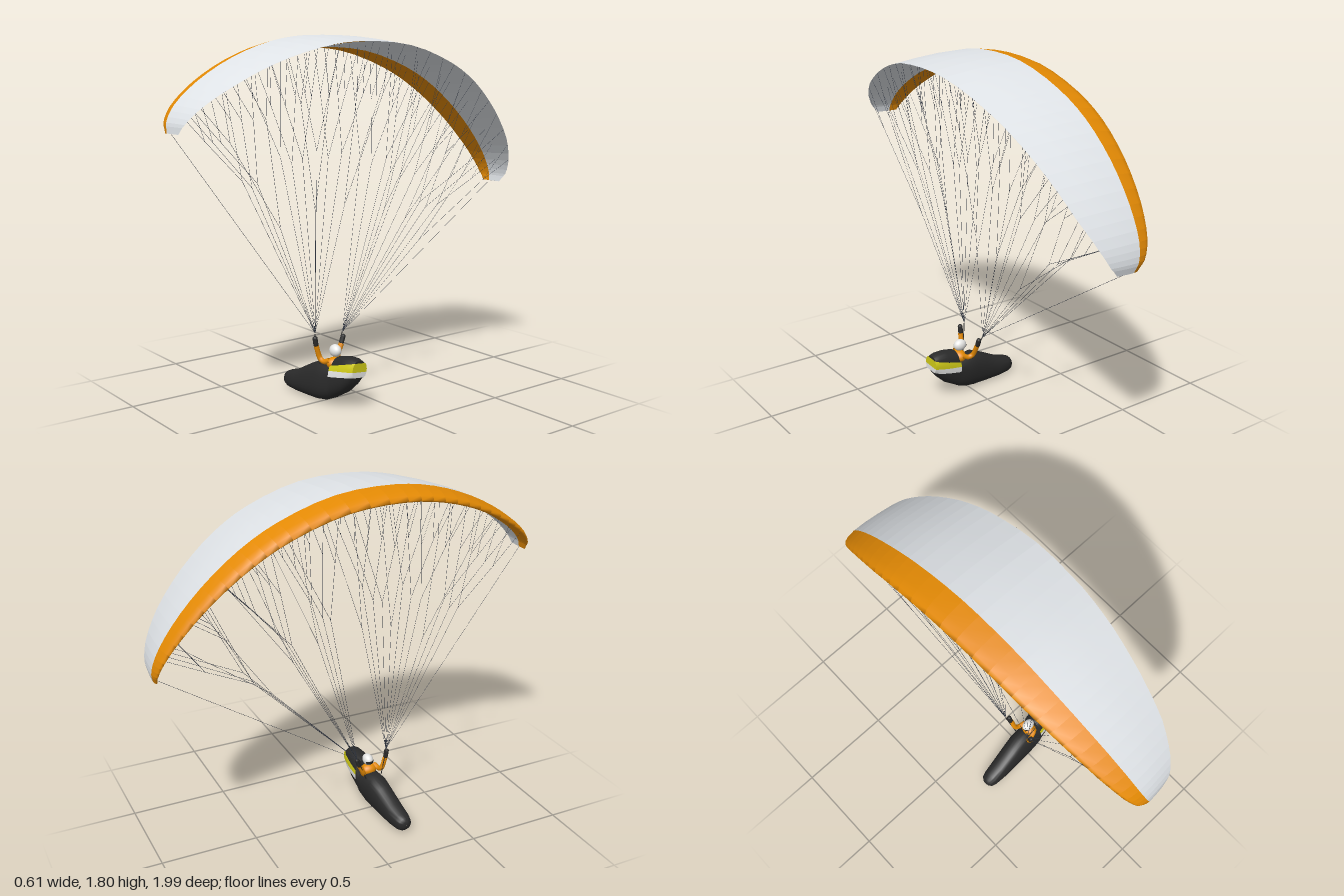
import * as THREE from 'three';
import { mergeGeometries, mergeVertices, toCreasedNormals } from 'three/addons/utils/BufferGeometryUtils.js';

const V = (x, y, z) => new THREE.Vector3(x, y, z);
const paint = (name, color, side = THREE.FrontSide) => {
  const m = new THREE.MeshStandardMaterial({ color, side });
  m.name = name;
  return m;
};

// Surface from rows of points; point(i, j) runs across (i) and along (j)
function grid(ni, nj, point) {
  const pos = [], idx = [];
  for (let j = 0; j <= nj; j++)
    for (let i = 0; i <= ni; i++) pos.push(...point(i, j).toArray());
  for (let j = 0; j < nj; j++)
    for (let i = 0; i < ni; i++) {
      const a = j * (ni + 1) + i, b = a + 1, c = a + ni + 1, d = c + 1;
      idx.push(a, b, c, b, d, c);
    }
  const g = new THREE.BufferGeometry();
  g.setAttribute('position', new THREE.Float32BufferAttribute(pos, 3));
  g.setIndex(idx);
  g.computeVertexNormals();
  return g;
}

// Thin rod between two points
function rod(a, b, radius) {
  const d = b.clone().sub(a);
  const g = new THREE.CylinderGeometry(radius, radius, d.length(), 4);
  g.applyQuaternion(new THREE.Quaternion().setFromUnitVectors(V(0, 1, 0), d.normalize()));
  return g.translate((a.x + b.x) / 2, (a.y + b.y) / 2, (a.z + b.z) / 2);
}

// Canopy half span: [span, height, leading edge x, trailing edge x]
const HALF = [
  [0, 0.592, -0.26, 0.306], [0.3, 0.554, -0.257, 0.293], [0.5, 0.487, -0.249, 0.268],
  [0.7, 0.375, -0.226, 0.228], [0.87, 0.238, -0.193, 0.181], [0.975, 0.115, -0.155, 0.12],
  [1.009, 0.035, -0.12, 0.075], [1.007, -0.012, -0.085, 0.035],
];
const FULL = [...HALF.slice(1).reverse().map(([u, ...r]) => [-u, ...r]), ...HALF];
const SHIFT = 0.008;
const arc = new THREE.CatmullRomCurve3(FULL.map(p => V(p[0] + SHIFT, p[1], 0)));
const edges = new THREE.CatmullRomCurve3(FULL.map(p => V(p[2], p[3], 0)));
// Curve parameter at a distance out from the middle, on side s
function spanParam(u, s) {
  const k = HALF.findIndex(h => h[0] > u);
  const seg = k - 1 + (u - HALF[k - 1][0]) / (HALF[k][0] - HALF[k - 1][0]);
  return 0.5 + s * seg / (FULL.length - 1);
}
// Wing section: [chord fraction, offset], upper side from the back, then lower side
const SECTION = [
  [1, -0.035], [0.75, -0.017], [0.5, -0.004], [0.25, 0], [0.1, -0.012], [0.03, -0.028], [0, -0.047],
  [0.03, -0.058], [0.12, -0.062], [0.4, -0.06], [0.6, -0.053], [0.8, -0.045], [1, -0.037],
];
const ROLL = 0.176;

// Point on the banked canopy; p runs 0..1 along the span
function canopyPoint(p, t, off) {
  const a = arc.getPoint(p), e = edges.getPoint(p), n = arc.getTangent(p);
  const k = off * (e.y - e.x) / 0.565;
  return V(e.x + t * (e.y - e.x), a.y + n.x * k, a.x - n.y * k)
    .applyAxisAngle(V(1, 0, 0), -ROLL).add(V(0, 1.204, 0));
}

// Harness stations: [x, bottom, top, half width]
const POD = [
  [-0.308, 0.046, 0.05, 0.001], [-0.305, 0.03, 0.068, 0.02], [-0.292, 0.014, 0.084, 0.036], [-0.265, 0.005, 0.097, 0.045],
  [-0.2, 0.001, 0.118, 0.052], [-0.1, 0.001, 0.172, 0.058], [-0.03, 0.004, 0.205, 0.062],
  [0.03, 0.014, 0.2, 0.063], [0.08, 0.036, 0.195, 0.063], [0.095, 0.045, 0.25, 0.063],
  [0.16, 0.083, 0.265, 0.058], [0.21, 0.13, 0.266, 0.05], [0.238, 0.168, 0.257, 0.042],
];
function podAt(x) {
  let k = 1;
  while (k < POD.length - 1 && POD[k][0] < x) k++;
  const a = POD[k - 1], b = POD[k], f = (x - a[0]) / (b[0] - a[0]);
  return a.map((v, i) => v + (b[i] - v) * f);
}

export function createModel() {
  const root = new THREE.Group();
  const orange = paint('orange', 0xe48a04, THREE.DoubleSide);
  const grey = paint('pale grey', 0xe0e4e8, THREE.DoubleSide);
  const white = paint('white', 0xf0f0ee);
  const black = paint('black', 0x2a2a2a);
  const yellow = paint('yellow', 0xd2cc18);
  const lineGrey = paint('line grey', 0x343a46);
  const add = (name, geo, mat, parent = root) => {
    const m = new THREE.Mesh(geo, mat);
    m.name = name;
    parent.add(m);
    return m;
  };

  // Canopy: separate cells, smooth along the chord and faceted along the span
  const CELLS = 42;
  const skin = (from, to) => {
    const parts = [];
    for (let c = 0; c < CELLS; c++)
      parts.push(grid(to - from, 1, (i, j) => canopyPoint((c + j) / CELLS, ...SECTION[from + i])));
    return mergeGeometries(parts);
  };
  const tips = (from, to) => mergeGeometries([0, 1].map(p =>
    grid(to - from, 1, (i, j) => canopyPoint(p, ...SECTION[j ? 12 - from - i : from + i]))));
  add('canopyTop', skin(0, 3), grey);
  add('canopyLeadingEdge', skin(3, 9), orange);
  add('canopyUnderside', skin(9, 12), grey);
  add('canopyTips', tips(0, 3), grey);
  add('canopyTipNoses', tips(3, 6), orange);

  // Suspension lines: each main line forks twice before it meets the canopy
  const lines = [], R = 0.0008;
  const mean = pts => pts.reduce((s, p) => s.add(p), V(0, 0, 0)).divideScalar(pts.length);
  const ROWS = [[0.1, -0.062, 0.64], [0.38, -0.06, 0.62], [0.68, -0.05, 0.64], [1, -0.037, 0.46]];
  const SPANS = [[0.04, 0.13, 0.22, 0.31], [0.4, 0.48, 0.56, 0.64], [0.73, 0.82, 0.9, 0.97]];
  for (const s of [-1, 1]) {
    const apex = s > 0 ? V(-0.02, 0.35, 0.24) : V(-0.02, 0.33, 0.07);
    for (const [t, off, low] of ROWS)
      for (const span of SPANS) {
        const ends = span.map(u => canopyPoint(spanParam(u, s), t, off));
        const fork = apex.clone().lerp(mean(ends), low);
        lines.push(rod(apex, fork, R));
        for (const pair of [ends.slice(0, 2), ends.slice(2)]) {
          const knot = apex.clone().lerp(mean(pair), 0.84);
          lines.push(rod(fork, knot, R));
          pair.forEach(e => lines.push(rod(knot, e, R)));
        }
      }
    lines.push(rod(apex, canopyPoint(s > 0 ? 1 : 0, 0.4, -0.05), R));
  }
  add('suspensionLines', mergeGeometries(lines), lineGrey);

  // Harness pod, leaning and turned slightly
  const harness = new THREE.Group();
  harness.name = 'harness';
  harness.position.z = 0.203;
  harness.rotation.set(-0.12, 0.05, 0);
  root.add(harness);
  const P = 2.4, N = 28;
  const bend = v => Math.sign(v) * Math.abs(v) ** (2 / P);
  const rings = [...POD, [0.24, 0.21, 0.212, 0.001]];
  const pod = grid(N, rings.length - 1, (i, j) => {
    const [x, lo, hi, w] = rings[j], a = (i % N) / N * Math.PI * 2;
    return V(x, (lo + hi) / 2 + bend(Math.cos(a)) * (hi - lo) / 2, bend(Math.sin(a)) * w);
  });
  pod.deleteAttribute('normal');
  add('pod', toCreasedNormals(mergeVertices(pod, 1e-5), 0.75), black, harness);

  // Stripes wrapping around the tail: heights at the front and back end
  const STEPS = 8;
  const stripe = (front, back) => toCreasedNormals(grid(3, 2 * STEPS + 1, (i, j) => {
    const side = j <= STEPS ? 1 : -1;
    const f = (side > 0 ? j : 2 * STEPS + 1 - j) / STEPS;
    const x = 0.088 + f * 0.15;
    const [, lo, hi, w] = podAt(Math.max(x, 0.0951));
    const top = front[1] + (back[1] - front[1]) * f, low = front[0] + (back[0] - front[0]) * f;
    const y = top + (low - top) * i / 3;
    const n = Math.min(1, Math.abs((y - (lo + hi) / 2) / ((hi - lo) / 2)));
    return V(x + 0.005 * f, y, side * (w * (1 - n ** P) ** (1 / P) + 0.003));
  }), 0.75);
  add('yellowStripe', stripe([0.179, 0.203], [0.203, 0.247]), yellow, harness);
  add('whiteStripe', stripe([0.148, 0.179], [0.176, 0.203]), white, harness);

  // Pilot, leaning with the turn
  const pilot = new THREE.Group();
  pilot.name = 'pilot';
  pilot.position.z = 0.199;
  pilot.rotation.x = -0.1;
  root.add(pilot);
  const torso = add('torso', new THREE.SphereGeometry(1, 20, 14), orange, pilot);
  torso.scale.set(0.036, 0.032, 0.045);
  torso.position.set(0.06, 0.205, 0);
  const helmet = add('helmet', new THREE.SphereGeometry(1, 24, 16), white, pilot);
  helmet.scale.set(0.036, 0.031, 0.027);
  helmet.position.set(0.056, 0.268, 0);
  const visor = add('visor', new THREE.SphereGeometry(1.04, 12, 6, -0.9, 1.8, 1.45, 0.6), black, pilot);
  visor.scale.copy(helmet.scale);
  visor.position.copy(helmet.position);
  for (const s of [-1, 1]) {
    const arm = new THREE.CatmullRomCurve3([
      V(0.062, 0.222, s * 0.036), V(0.03, 0.21, s * 0.047), V(0.008, 0.222, s * 0.054), V(0.0, 0.285, s * 0.078)]);
    add('arm', new THREE.TubeGeometry(arm, 16, 0.0135, 8), orange, pilot);
    const glove = add('glove', new THREE.CapsuleGeometry(0.013, 0.03, 4, 10), black, pilot);
    glove.position.set(-0.002, 0.306, s * 0.083);
    glove.rotation.x = s * 0.25;
    add('riser', rod(V(0, 0.19, s * 0.045), V(-0.02, 0.34, s * 0.085 - 0.008), 0.003), black, pilot);
  }
  return root;
}
